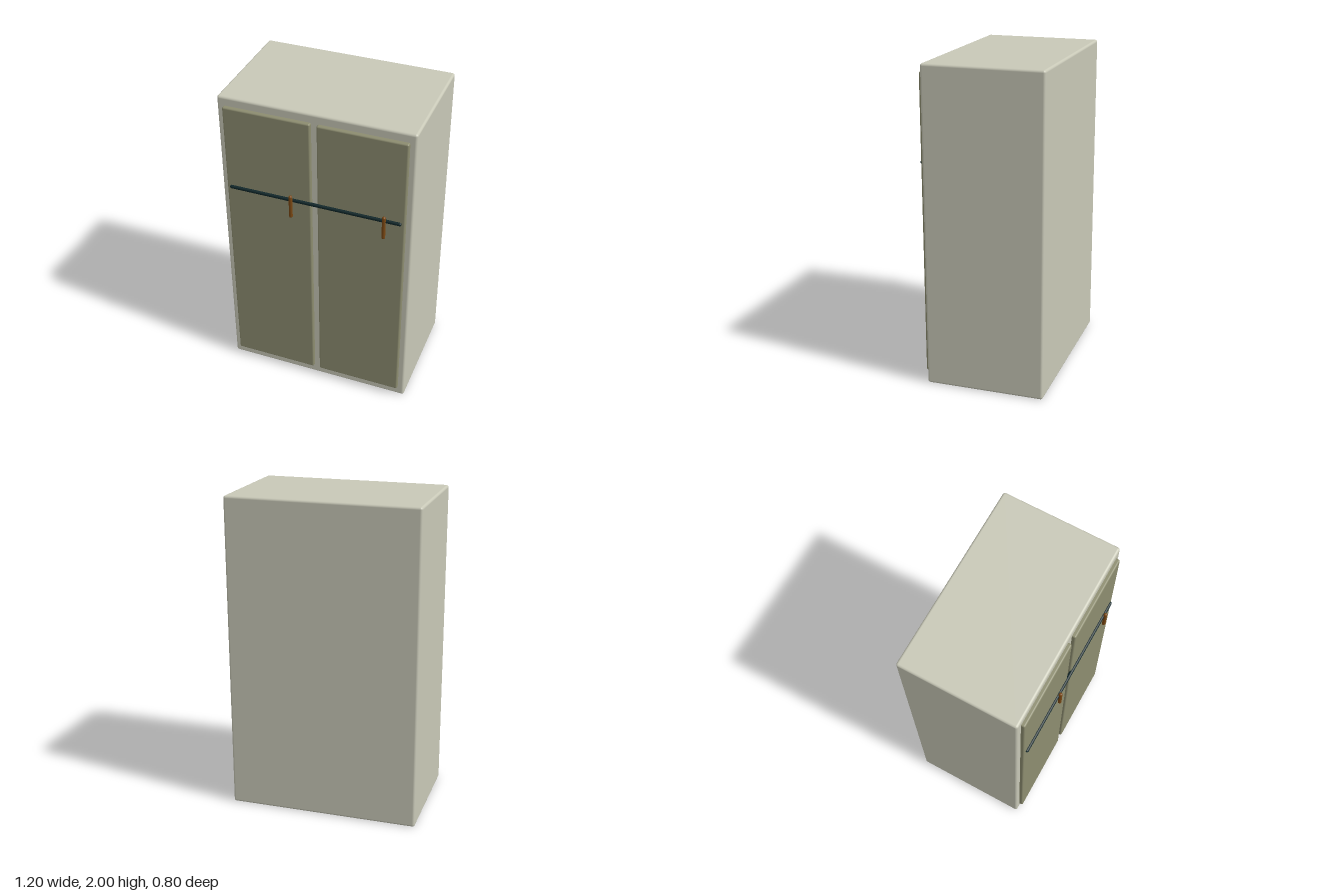
import * as THREE from 'three';
import { RoundedBoxGeometry } from 'three/addons/geometries/RoundedBoxGeometry.js';

function material(name, color) {
  const m = new THREE.MeshStandardMaterial({ color });
  m.name = name;
  return m;
}

export function createModel() {
  const group = new THREE.Group();
  group.name = 'wardrobe';
  const cream = material('cream', 0xc8c8b7);
  const olive = material('olive', 0x8d8d70);
  const darkTeal = material('dark teal', 0x0d2528);
  const brown = material('brown', 0x7a4712);

  const add = (name, geometry, mat, x, y, z) => {
    const mesh = new THREE.Mesh(geometry, mat);
    mesh.name = name;
    mesh.position.set(x, y, z);
    group.add(mesh);
    return mesh;
  };

  // Cabinet body with softly rounded edges
  add('cabinet', new RoundedBoxGeometry(1.2, 2, 0.744, 4, 0.015), cream, 0, 1, -0.026);

  // Pair of doors standing proud of the front
  for (const [side, s] of [['left', 1], ['right', -1]]) {
    add(side + 'Door', new RoundedBoxGeometry(0.54, 1.88, 0.036, 4, 0.01), olive, s * 0.29, 1.004, 0.352);
  }

  // Horizontal bar across both doors
  const bar = add('crossBar', new THREE.CapsuleGeometry(0.011, 1.058, 6, 16), darkTeal, 0, 1.403, 0.373);
  bar.rotation.z = Math.PI / 2;

  // Upright handles hung on the bar
  for (const [side, x] of [['left', 0.438], ['right', -0.142]]) {
    add(side + 'Handle', new THREE.CapsuleGeometry(0.011, 0.136, 6, 16), brown, x, 1.363, 0.387);
  }

  return group;
}
